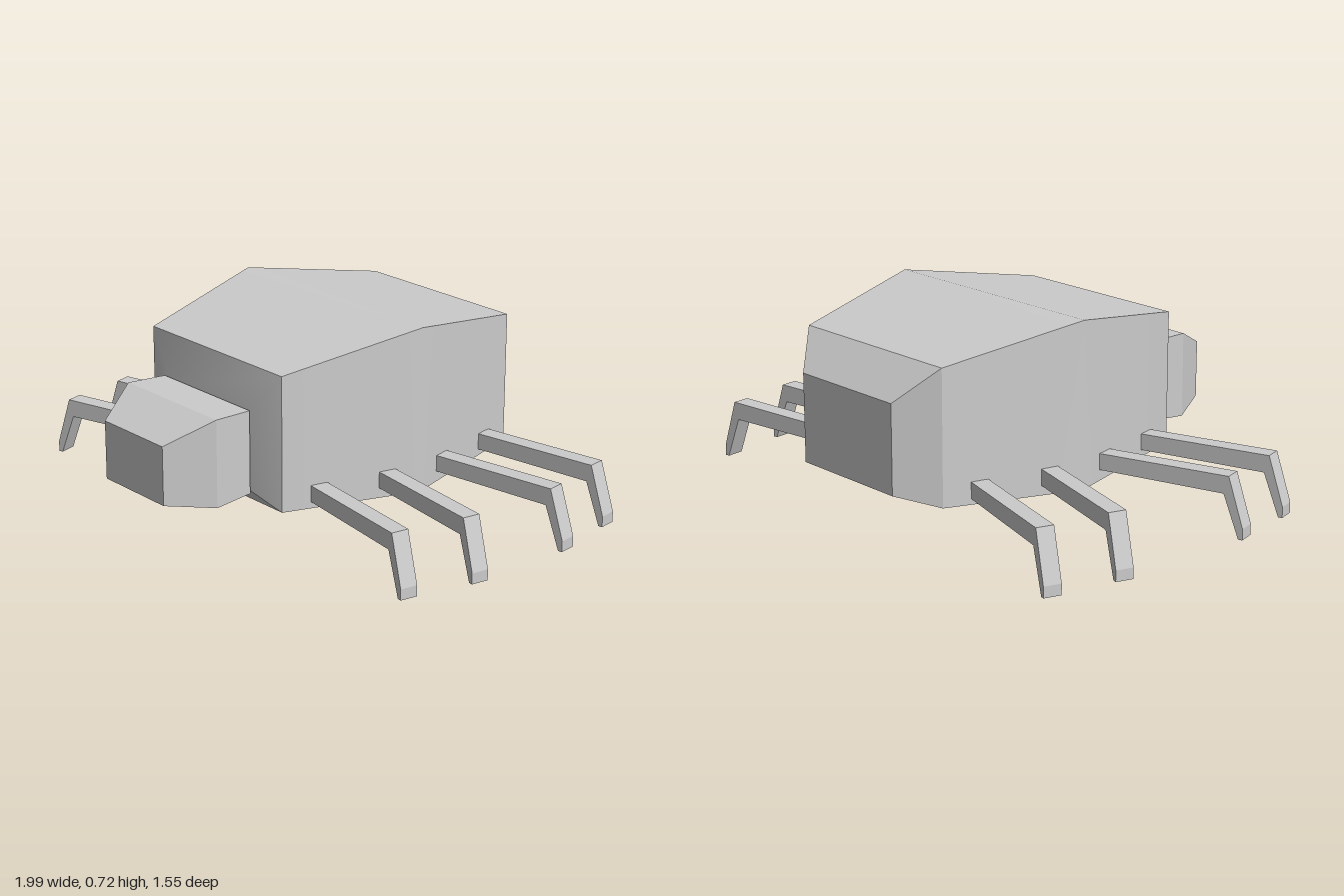
import * as THREE from 'three';
import { toCreasedNormals } from 'three/addons/utils/BufferGeometryUtils.js';

const material = new THREE.MeshStandardMaterial({ color: 0xcccccc });

// Lofts rectangular sections [z, halfWidth, bottom, top], ordered back to front.
function loft(sections, centreX) {
  const positions = [];
  const rings = sections.map(([z, w, y0, y1]) => [
    [centreX - w, y0, z], [centreX + w, y0, z], [centreX + w, y1, z], [centreX - w, y1, z],
  ]);
  const quad = (a, b, c, d) => positions.push(...a, ...b, ...c, ...a, ...c, ...d);
  for (let s = 0; s < rings.length - 1; s++) {
    const back = rings[s], front = rings[s + 1];
    for (let i = 0; i < 4; i++) {
      const j = (i + 1) % 4;
      quad(back[i], back[j], front[j], front[i]);
    }
  }
  const [a, b, c, d] = rings[0];
  quad(d, c, b, a);
  quad(...rings[rings.length - 1]);
  const geometry = new THREE.BufferGeometry();
  geometry.setAttribute('position', new THREE.Float32BufferAttribute(positions, 3));
  return toCreasedNormals(geometry, 0.46);
}

// Leg from hip to tip (both [x, z]): a straight bar with a bent, tapered foot.
function makeLeg(hip, tip) {
  const dx = tip[0] - hip[0], dz = tip[1] - hip[1];
  const length = Math.hypot(dx, dz), width = 0.065;
  const profile = new THREE.Shape([
    [0, 0.155], [length - 0.075, 0.155], [length - 0.016, 0],
    [length, 0], [length, 0.04], [length - 0.057, 0.22], [0, 0.215],
  ].map(([u, y]) => new THREE.Vector2(u, y)));
  const geometry = new THREE.ExtrudeGeometry(profile, { depth: width, bevelEnabled: false });
  geometry.translate(0, 0, -width / 2);
  const leg = new THREE.Mesh(geometry, material);
  leg.position.set(hip[0], 0, hip[1]);
  leg.rotation.y = Math.atan2(-dz, dx);
  return leg;
}

export function createModel() {
  const model = new THREE.Group();
  model.name = 'beetle';

  // Faceted body, widest and tallest in the middle
  const body = new THREE.Mesh(loft([
    [-0.775, 0.24, 0.18, 0.505],
    [-0.655, 0.36, 0.14, 0.63],
    [-0.12, 0.48, 0.11, 0.72],
    [0.415, 0.36, 0.135, 0.63],
    [0.46, 0.2, 0.2, 0.455],
  ], -0.01), material);
  body.name = 'body';
  model.add(body);

  // Head with a tapered muzzle
  const head = new THREE.Mesh(loft([
    [0.458, 0.24, 0.18, 0.485],
    [0.61, 0.25, 0.17, 0.49],
    [0.775, 0.165, 0.195, 0.41],
  ], -0.01), material);
  head.name = 'head';
  model.add(head);

  // Four legs per side: hip x, hip z, tip x, tip z; the right ones splay wider
  const legs = {
    left: [[0.38, 0.275, 0.93, 0.357], [0.435, 0.01, 0.99, 0.09],
      [0.435, -0.25, 0.99, -0.332], [0.38, -0.518, 0.93, -0.6]],
    right: [[-0.4, 0.275, -0.935, 0.438], [-0.455, 0.01, -0.99, 0.172],
      [-0.455, -0.25, -0.99, -0.412], [-0.4, -0.518, -0.935, -0.68]],
  };
  for (const [side, list] of Object.entries(legs)) {
    list.forEach(([hx, hz, tx, tz], i) => {
      const leg = makeLeg([hx, hz], [tx, tz]);
      leg.name = `${side}Leg${i + 1}`;
      model.add(leg);
    });
  }
  return model;
}
